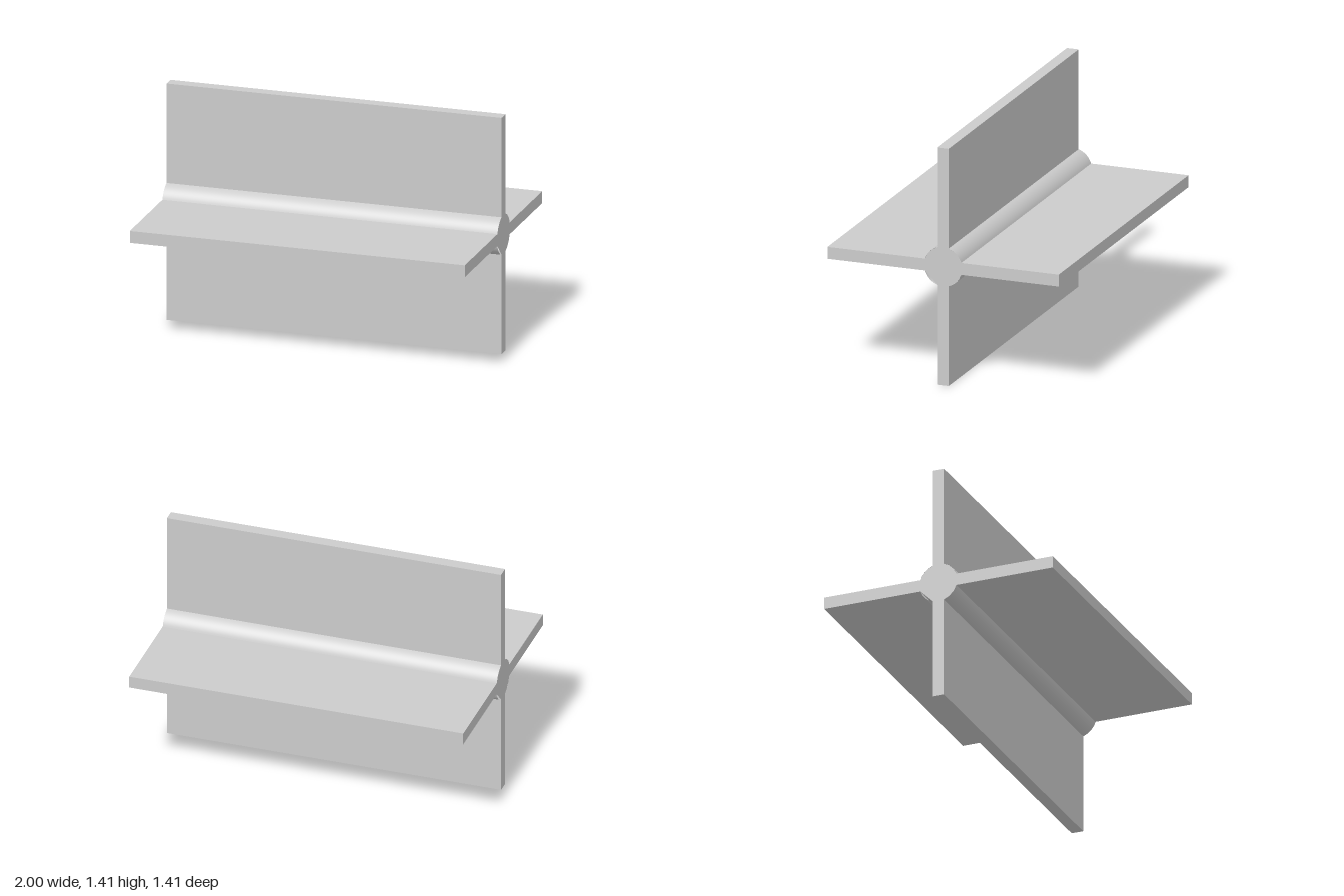
import * as THREE from 'three';
import { toCreasedNormals } from 'three/addons/utils/BufferGeometryUtils.js';

const REACH = 0.706;  // centre to fin tip
const HALF = 0.0355;  // half fin thickness
const HUB = 0.1175;   // hub radius

// Cross outline, counter-clockwise; steps[i] = segments of the hub arc in quadrant i
function outline(steps) {
  const points = [];
  const a0 = Math.asin(HALF / HUB);
  const origin = new THREE.Vector2();
  steps.forEach((n, q) => {
    const quarter = [new THREE.Vector2(REACH, -HALF), new THREE.Vector2(REACH, HALF)];
    for (let i = 0; i <= n; i++) {
      const a = a0 + (Math.PI / 2 - 2 * a0) * i / n;
      quarter.push(new THREE.Vector2(Math.cos(a) * HUB, Math.sin(a) * HUB));
    }
    points.push(...quarter.map(p => p.rotateAround(origin, q * Math.PI / 2)));
  });
  return points;
}

// Long open walls swept along the outline
function wallGeometry(points) {
  const positions = [];
  points.forEach((p, i) => {
    const q = points[(i + 1) % points.length];
    positions.push(p.x, p.y, -1, q.x, q.y, -1, q.x, q.y, 1);
    positions.push(p.x, p.y, -1, q.x, q.y, 1, p.x, p.y, 1);
  });
  const geometry = new THREE.BufferGeometry();
  geometry.setAttribute('position', new THREE.Float32BufferAttribute(positions, 3));
  return toCreasedNormals(geometry, 0.5);
}

export function createModel() {
  const model = new THREE.Group();
  model.name = 'finnedBeam';
  const material = new THREE.MeshStandardMaterial({ color: 0xcccccc, side: THREE.DoubleSide });

  // Four fins joined by the round hub
  const walls = new THREE.Mesh(wallGeometry(outline([12, 12, 12, 12])), material);
  walls.name = 'finsAndHub';
  walls.rotation.y = Math.PI / 2;
  walls.position.y = REACH;
  model.add(walls);

  // End plates, cut straight across one lower hub quadrant
  const capGeometry = new THREE.ShapeGeometry(new THREE.Shape(outline([3, 3, 1, 3])));
  for (const side of [1, -1]) {
    const cap = new THREE.Mesh(capGeometry, material);
    cap.name = side > 0 ? 'leftEndPlate' : 'rightEndPlate';
    cap.rotation.y = side * Math.PI / 2;
    cap.position.set(side, REACH, 0);
    model.add(cap);
  }
  return model;
}
